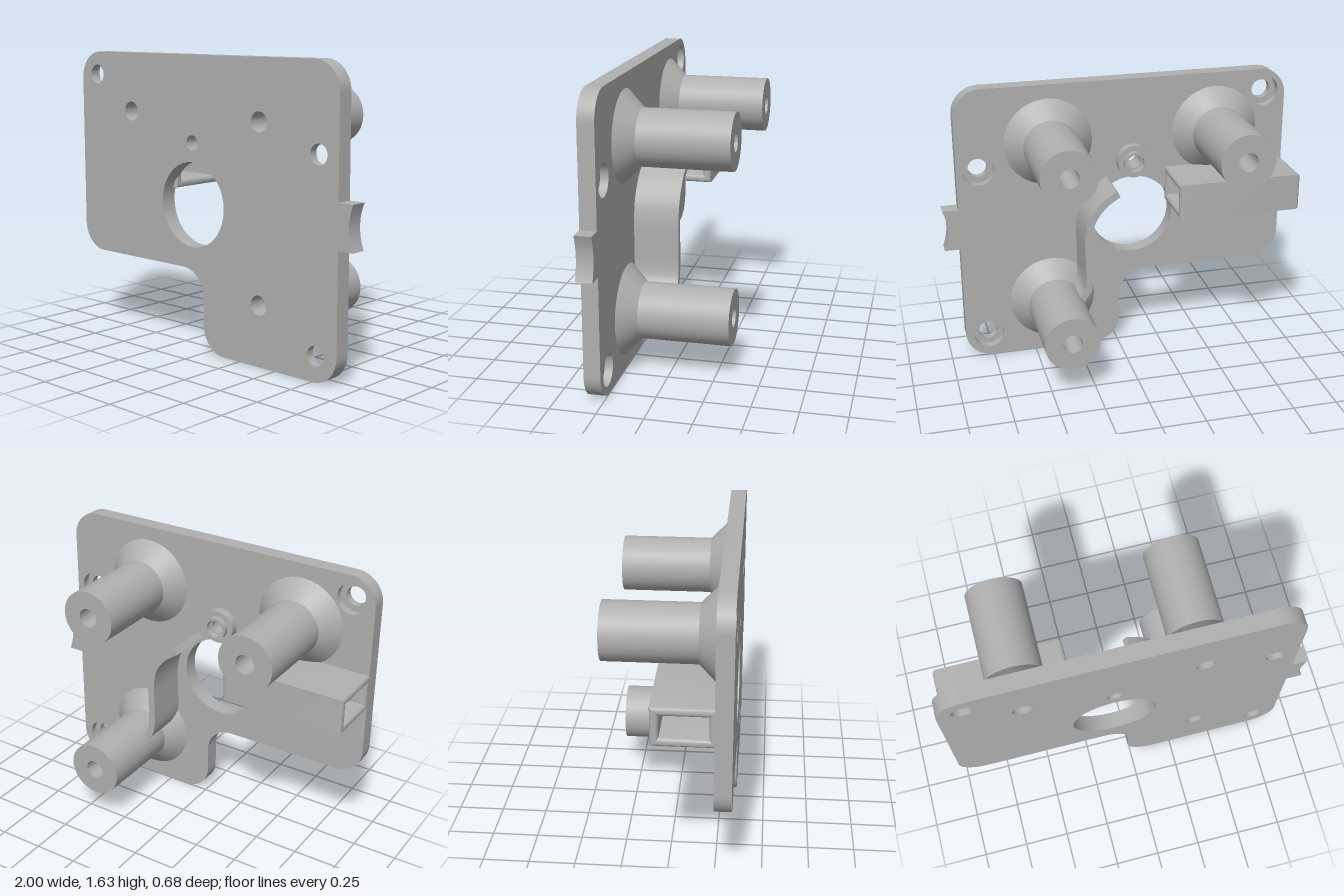
import * as THREE from 'three';
import { toCreasedNormals } from 'three/addons/utils/BufferGeometryUtils.js';

const BACK = 0.25, FRONT = 0.34; // z of the plate's two faces
const CREASE = 0.6;

export function createModel() {
  const group = new THREE.Group();
  const grey = new THREE.MeshStandardMaterial({ color: 0xb0b0b0 });
  grey.name = 'plain grey';

  const add = (name, geometry) => {
    const mesh = new THREE.Mesh(toCreasedNormals(geometry, CREASE), grey);
    mesh.name = name;
    group.add(mesh);
    return mesh;
  };

  const circle = (x, y, r) => new THREE.Path().absarc(x, y, r, 0, Math.PI * 2, true);

  // Revolved part growing backwards from the plate; points are [radius, height]
  const revolve = (name, x, y, points) => {
    const g = new THREE.LatheGeometry(points.map(p => new THREE.Vector2(...p)), 48);
    g.rotateX(-Math.PI / 2);
    add(name, g).position.set(x, y, BACK);
  };

  const posts = [[-0.58, 1.3], [0.39, 1.3], [0.39, 0.335]];
  const screws = [[-0.87, 1.5], [0.785, 1.165], [0.775, 0.14]];
  const pilot = [-0.095, 1.155];

  // Plate outline with rounded corners, an inner fillet and a notched side tab
  const outline = () => {
    const s = new THREE.Shape(), r = 0.155, q = Math.PI / 2;
    s.moveTo(0.14, 0);
    s.absarc(0.91 - r, r, r, -q, 0, false);
    s.lineTo(0.91, 0.7);
    s.lineTo(1, 0.7);
    s.quadraticCurveTo(0.95, 0.82, 1, 0.94);
    s.lineTo(0.91, 0.94);
    s.absarc(0.91 - r, 1.63 - r, r, 0, q, false);
    s.absarc(-1 + r, 1.63 - r, r, q, 2 * q, false);
    s.absarc(-1 + r, 0.46 + r, r, 2 * q, 3 * q, false);
    s.absarc(-0.015 - r, 0.46 - r, r, q, 0, true);
    s.absarc(-0.015 + r, r, r, 2 * q, 3 * q, false);
    return s;
  };

  // Two layers: the rear one has wider holes as screw-head recesses
  const mid = (BACK + FRONT) / 2;
  for (const [name, z, screwRadius] of [['frontPlate', mid, 0.054], ['rearPlate', BACK, 0.088]]) {
    const s = outline();
    s.holes.push(circle(-0.095, 0.815, 0.235), circle(...pilot, 0.042));
    for (const p of posts) s.holes.push(circle(...p, 0.054));
    for (const p of screws) s.holes.push(circle(...p, screwRadius));
    const g = new THREE.ExtrudeGeometry(s, { depth: mid - BACK, bevelEnabled: false, curveSegments: 20 });
    add(name, g).position.z = z;
  }

  // Hollow standoffs with conical feet
  for (const [x, y] of posts) {
    revolve('standoff', x, y, [
      [0.25, 0], [0.155, 0.095], [0.155, 0.59], [0.054, 0.59], [0.054, 0],
    ]);
  }

  // Small stepped boss around the pilot hole
  revolve('pilotBoss', ...pilot, [
    [0.095, 0], [0.095, 0.05], [0.065, 0.05], [0.065, 0.08],
    [0.05, 0.08], [0.05, 0.04], [0.042, 0.04], [0.042, 0],
  ]);

  // Rectangular cable duct with flared ends, running along x
  const rect = (Type, x0, y0, x1, y1) => new Type([
    [x0, y0], [x1, y0], [x1, y1], [x0, y1],
  ].map(p => new THREE.Vector2(...p)));
  const section = rect(THREE.Shape, -BACK - 0.02, 0.88, 0.065, 1.09);
  section.holes.push(rect(THREE.Path, -0.225, 0.925, 0.02, 1.045));
  const duct = new THREE.ExtrudeGeometry(section, {
    depth: 0.67, bevelSize: 0.02, bevelThickness: 0.02, bevelOffset: -0.02, bevelSegments: 4,
  });
  duct.rotateY(Math.PI / 2);
  add('cableDuct', duct).position.x = -0.98;

  // Thin curved guard wall beside the large opening
  const path = new THREE.CatmullRomCurve3([
    [0.048, 1.048], [0.13, 0.99], [0.197, 0.9], [0.22, 0.8], [0.22, 0.66],
    [0.22, 0.52], [0.235, 0.46], [0.275, 0.41],
  ].map(([x, y]) => new THREE.Vector3(x, y, 0)));
  const left = [], right = [], steps = 32;
  for (let i = 0; i <= steps; i++) {
    const p = path.getPoint(i / steps), t = path.getTangent(i / steps);
    left.push(new THREE.Vector2(p.x - t.y * 0.02, p.y + t.x * 0.02));
    right.push(new THREE.Vector2(p.x + t.y * 0.02, p.y - t.x * 0.02));
  }
  const wall = new THREE.Shape([...left, ...right.reverse()]);
  add('guardWall', new THREE.ExtrudeGeometry(wall, { depth: BACK, bevelEnabled: false }));

  return group;
}
